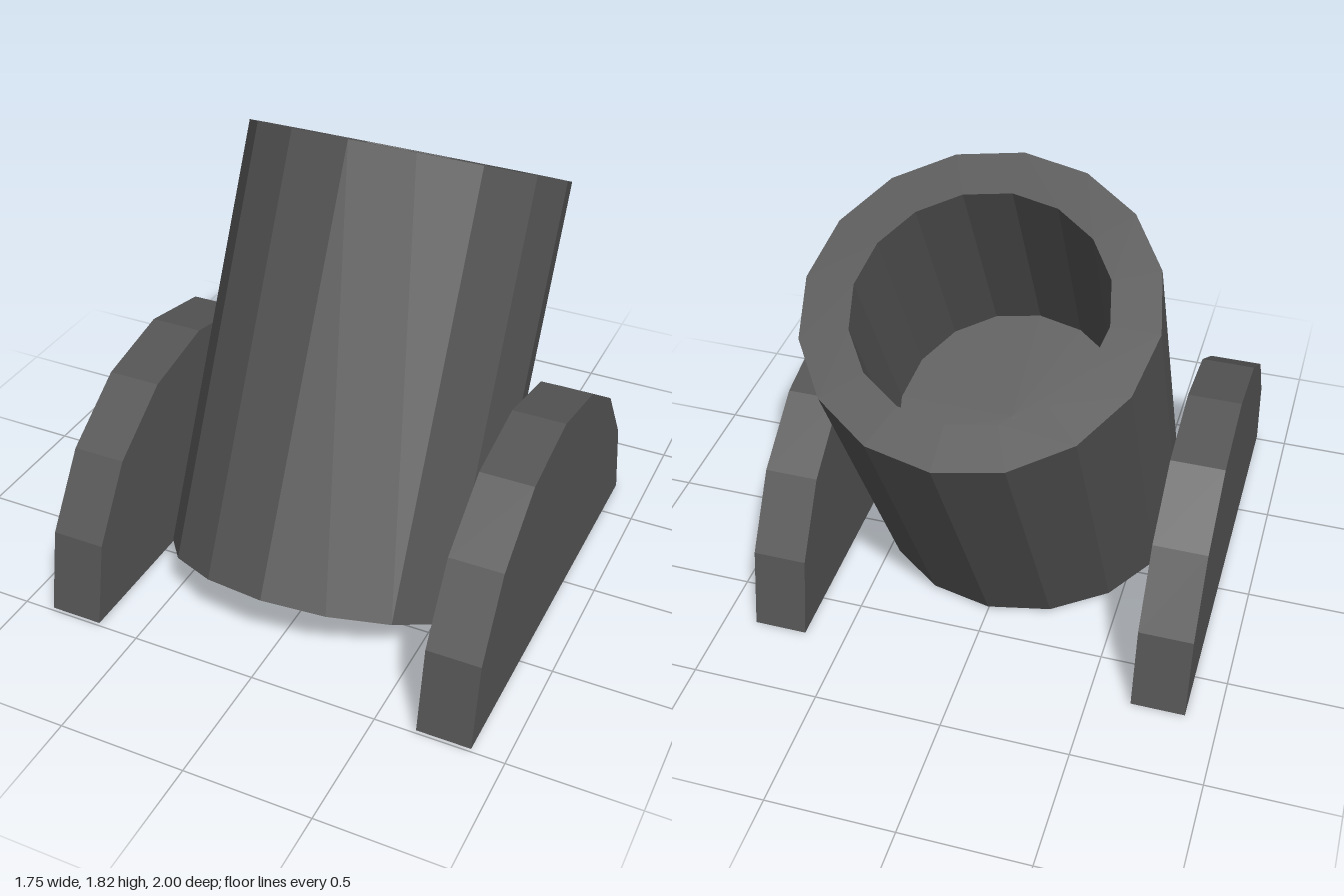
import * as THREE from 'three';

const TILT = 0.467;   // backward lean of the barrel
const SIDES = 16;

// Faceted copy of a geometry
function faceted(geometry) {
  const g = geometry.index ? geometry.toNonIndexed() : geometry;
  g.computeVertexNormals();
  return g;
}

// Thick tube with a blind bore; the rear half of its foot is cut level with the ground
function barrelGeometry() {
  const outer = 0.638, bore = 0.461, height = 1.7, boreFloor = 0.795;
  const profile = [
    [0, 0], [outer, 0], [outer, height], [bore, height], [bore, boreFloor], [0, boreFloor],
  ].map(([x, y]) => new THREE.Vector2(x, y));
  const g = new THREE.LatheGeometry(profile, SIDES);
  const p = g.attributes.position;
  for (let i = 0; i < p.count; i++) {
    if (p.getY(i) < 0.001) p.setY(i, Math.max(0, -p.getZ(i)) * Math.tan(TILT));
  }
  return faceted(g);
}

// Half-round cheek plate, drawn in the z-y plane and extruded along x
function cheekGeometry() {
  const radius = 0.85, thickness = 0.21;
  const shape = new THREE.Shape();
  for (let i = 0; i <= SIDES / 2; i++) {
    const a = (i / SIDES) * Math.PI * 2 + 0.0088;
    const x = -Math.cos(a) * radius, y = Math.sin(a) * radius;
    if (i === 0) shape.moveTo(x, y);
    else shape.lineTo(x, y);
  }
  shape.closePath();
  const g = new THREE.ExtrudeGeometry(shape, { depth: thickness, bevelEnabled: false });
  g.translate(0, 0, -thickness / 2);
  g.rotateY(Math.PI / 2);
  return faceted(g);
}

export function createModel() {
  const model = new THREE.Group();
  model.name = 'mortar';
  const iron = new THREE.MeshStandardMaterial({ color: 0x555555 });
  iron.name = 'dark iron';

  // Barrel
  const barrel = new THREE.Mesh(barrelGeometry(), iron);
  barrel.name = 'barrel';
  barrel.rotation.x = -TILT;
  barrel.position.set(0, 0.015, 0.34);
  model.add(barrel);

  // Cheek plates on both sides
  const cheek = cheekGeometry();
  for (const [name, side] of [['leftCheek', 1], ['rightCheek', -1]]) {
    const mesh = new THREE.Mesh(cheek, iron);
    mesh.name = name;
    mesh.position.set(side * 0.768, 0.0075, 0.15);
    model.add(mesh);
  }
  return model;
}
